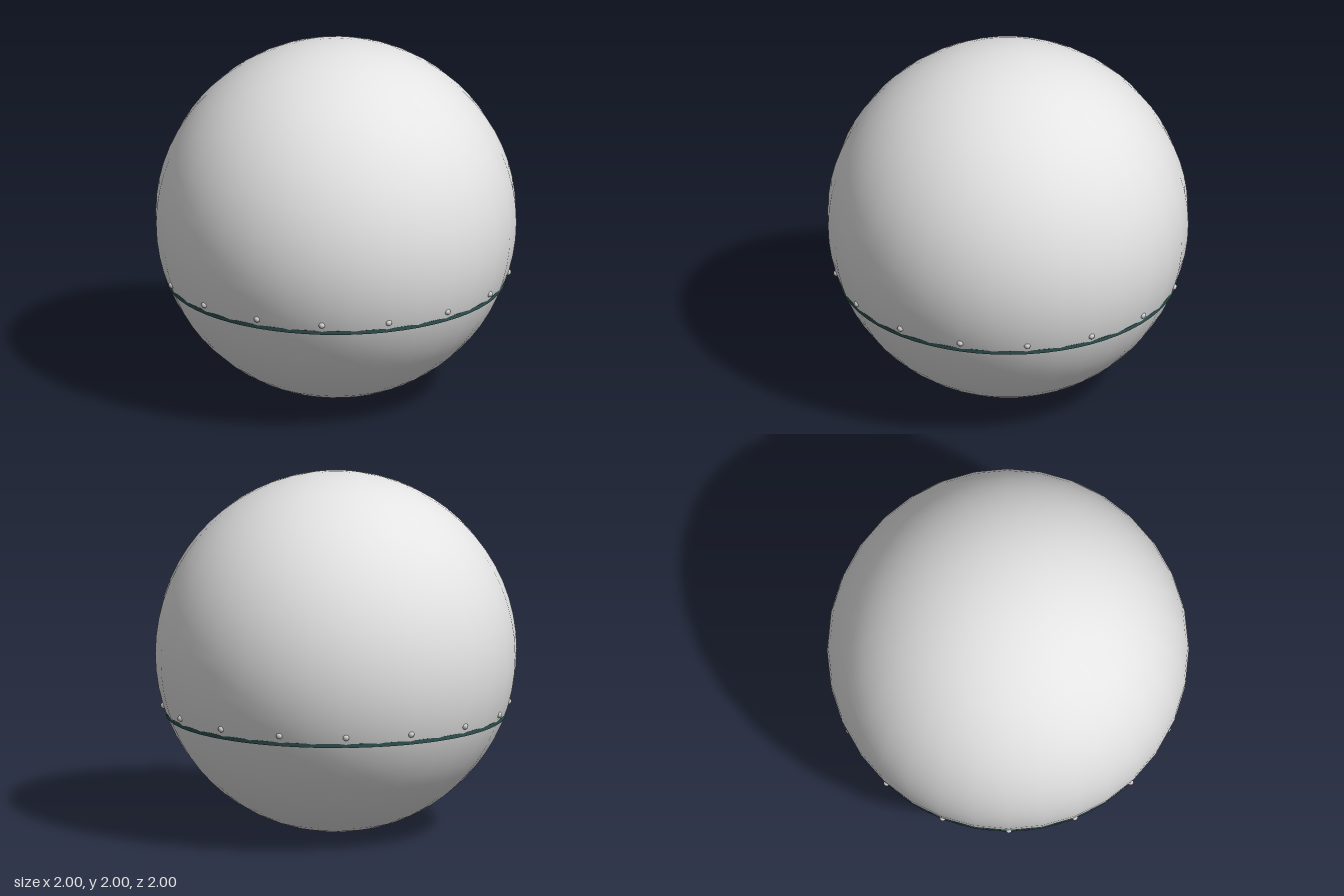
import * as THREE from 'three';

export function createModel() {
  const model = new THREE.Group();
  const paleGrey = new THREE.MeshStandardMaterial({ color: 0xe4e4e4 });
  const darkTeal = new THREE.MeshStandardMaterial({ color: 0x2f4f4f });
  const studGrey = new THREE.MeshStandardMaterial({ color: 0xd0d0d0 });
  paleGrey.name = 'paleGrey';
  darkTeal.name = 'darkTeal';
  studGrey.name = 'studGrey';

  const add = (name, geometry, material, x, y, z) => {
    const mesh = new THREE.Mesh(geometry, material);
    mesh.name = name;
    mesh.position.set(x, y, z);
    model.add(mesh);
    return mesh;
  };

  // Main globe
  add('globe', new THREE.SphereGeometry(1, 32, 32), paleGrey, 0, 1, 0);

  // Thin disc whose edge just breaks through the globe as a band
  add('band', new THREE.CylinderGeometry(0.94, 0.94, 0.022, 64), darkTeal, 0, 0.656, 0);

  // Ring of small round studs above the band
  const studShape = new THREE.SphereGeometry(0.018, 8, 8);
  const studCount = 16;
  for (let i = 0; i < studCount; i++) {
    const a = (i / studCount) * Math.PI * 2;
    add('stud', studShape, studGrey, Math.sin(a) * 0.953, 0.705, Math.cos(a) * 0.953);
  }
  return model;
}
